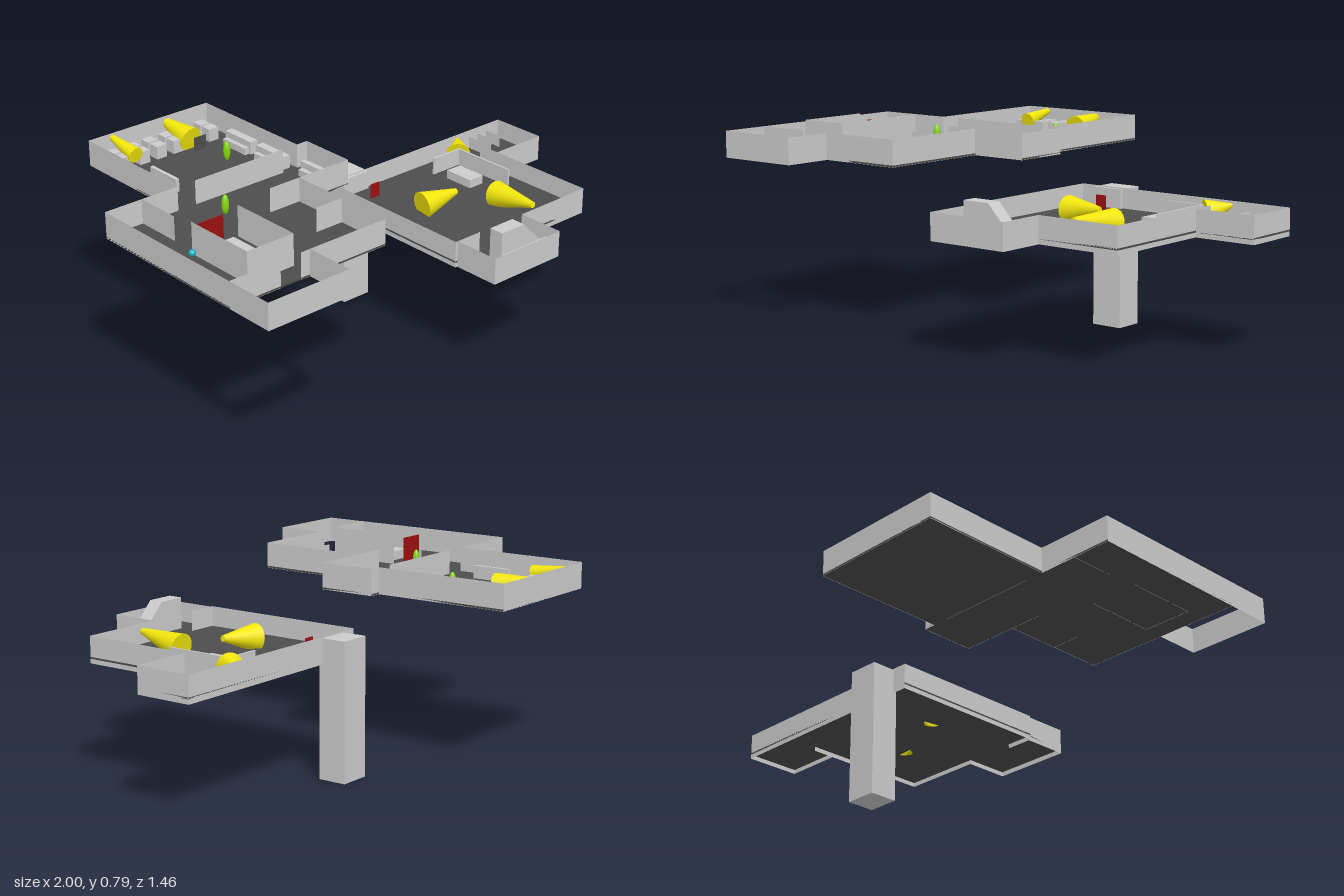
import * as THREE from 'three';

const mat = (color, side = THREE.FrontSide) => new THREE.MeshStandardMaterial({ color, side });

export function createModel() {
  const grey = mat(0xcccccc);
  const thin = mat(0xcccccc, THREE.DoubleSide);
  const dark = mat(0x4d4d4d, THREE.DoubleSide);
  const yellow = mat(0xf2e60c);
  const green = mat(0x86d90c);
  const cyan = mat(0x12b4c8);
  const red = mat(0x9c1010, THREE.DoubleSide);

  const model = new THREE.Group();
  const section = (name) => {
    const g = new THREE.Group();
    g.name = name;
    model.add(g);
    return g;
  };
  const add = (parent, name, geometry, material) => {
    const m = new THREE.Mesh(geometry, material);
    m.name = name;
    parent.add(m);
    return m;
  };
  // Box given by its limits on each axis
  const box = (parent, name, x0, x1, y0, y1, z0, z1, material = grey) =>
    add(parent, name, new THREE.BoxGeometry(x1 - x0, y1 - y0, z1 - z0), material)
      .position.set((x0 + x1) / 2, (y0 + y1) / 2, (z0 + z1) / 2);
  // Paper-thin upright wall between two floor points
  const wall = (parent, name, [x0, z0], [x1, z1], y0, y1, material = thin) => {
    const m = add(parent, name, new THREE.PlaneGeometry(Math.hypot(x1 - x0, z1 - z0), y1 - y0), material);
    m.position.set((x0 + x1) / 2, (y0 + y1) / 2, (z0 + z1) / 2);
    m.rotation.y = -Math.atan2(z1 - z0, x1 - x0);
  };
  const walls = (parent, name, points, y0, y1) => {
    for (let i = 0; i + 1 < points.length; i++) wall(parent, name, points[i], points[i + 1], y0, y1);
  };
  // Flat slab from a plan outline
  const slab = (parent, name, points, y0, y1) => {
    const shape = new THREE.Shape(points.map(([x, z]) => new THREE.Vector2(x, -z)));
    const geo = new THREE.ExtrudeGeometry(shape, { depth: y1 - y0, bevelEnabled: false });
    add(parent, name, geo.rotateX(-Math.PI / 2), dark).position.y = y0;
  };
  // Tapered light beam from a narrow to a wide end
  const beam = (parent, from, to, r0, r1) => {
    const a = new THREE.Vector3(...from), b = new THREE.Vector3(...to);
    const dir = b.clone().sub(a);
    const m = add(parent, 'lightBeam', new THREE.CylinderGeometry(r1, r0, dir.length(), 24), yellow);
    m.position.copy(a).add(b).multiplyScalar(0.5);
    m.quaternion.setFromUnitVectors(new THREE.Vector3(0, 1, 0), dir.normalize());
  };
  const marker = (parent, x, y, z, r, tall, material) => {
    const m = add(parent, 'marker', new THREE.SphereGeometry(r, 20, 14), material);
    m.position.set(x, y, z);
    m.scale.y = tall;
  };

  // ---- Upper storey ----
  const up = section('upperStorey');
  const u0 = 0.655, u1 = 0.76, uf = 0.663;
  slab(up, 'upperFloor', [[-1, -0.17], [-0.68, -0.17], [-0.68, -0.73], [-0.11, -0.73], [-0.11, -0.17],
    [-0.06, -0.17], [-0.06, 0.065], [-0.299, 0.065], [-0.299, 0.53], [-1, 0.53]], u0 + 0.001, uf);
  walls(up, 'outerWall', [[-1, 0.73], [-1, -0.17], [-0.68, -0.17], [-0.68, -0.73], [-0.11, -0.73], [-0.11, -0.17],
    [-0.06, -0.17], [-0.06, 0.065], [-0.30, 0.065], [-0.30, 0.53], [-0.65, 0.53], [-0.65, 0.73], [-1, 0.73]], u0, u1);
  wall(up, 'frontRoomWall', [-1, 0.53], [-0.78, 0.53], u0, u1);
  wall(up, 'frontRoomWall', [-0.69, 0.53], [-0.65, 0.53], u0, u1);
  wall(up, 'hallWall', [-0.60, -0.17], [-0.18, -0.17], u0, u1);
  wall(up, 'partition', [-0.84, -0.17], [-0.84, 0.02], u0, u1);
  wall(up, 'partition', [-0.44, 0.065], [-0.30, 0.065], u0, u1);
  wall(up, 'partition', [-0.42, 0.30], [-0.30, 0.30], u0, u1);

  // Taller enclosure with a platform and a red panel at its back
  walls(up, 'enclosureWall', [[-0.855, 0.14], [-0.855, 0.445], [-0.65, 0.445], [-0.65, 0.14]], u0, 0.788);
  box(up, 'platform', -0.82, -0.71, uf, 0.70, 0.19, 0.37);
  box(up, 'redPanel', -0.82, -0.71, uf, 0.765, 0.13, 0.134, red);

  // Rows of desks
  for (const x of [-0.615, -0.52, -0.44, -0.36, -0.265, -0.185])
    for (const z of [-0.668, -0.612]) box(up, 'desk', x - 0.023, x + 0.023, uf, 0.715, z - 0.023, z + 0.023);
  wall(up, 'screen', [-0.31, -0.555], [-0.25, -0.555], uf, 0.72, dark);

  // Benches: seat and backrest along the side walls
  for (const [seat0, seat1, back0, back1, z0, z1] of [
    [-0.62, -0.59, -0.59, -0.576, -0.46, -0.30],
    [-0.185, -0.16, -0.165, -0.13, -0.54, -0.385],
    [-0.185, -0.16, -0.165, -0.13, -0.35, -0.19],
    [-0.155, -0.13, -0.135, -0.112, -0.12, 0.035]]) {
    box(up, 'benchSeat', seat0, seat1, uf, 0.69, z0 + 0.01, z1 - 0.01);
    box(up, 'benchBack', back0, back1, uf, 0.715, z0, z1);
  }
  beam(up, [-0.575, 0.745, -0.725], [-0.57, 0.715, -0.58], 0.012, 0.032);
  beam(up, [-0.315, 0.735, -0.725], [-0.305, 0.705, -0.58], 0.018, 0.05);
  marker(up, -0.58, 0.71, -0.02, 0.014, 2.8, green);
  marker(up, -0.27, 0.705, -0.40, 0.014, 2.8, green);
  marker(up, -0.93, 0.73, 0.24, 0.013, 1, cyan);

  // ---- Lower storey ----
  const low = section('lowerStorey');
  const l0 = 0.445, l1 = 0.55, lf = 0.47;
  slab(low, 'lowerFloor', [[0.055, -0.17], [1, -0.17], [1, 0.065], [0.753, 0.065], [0.753, 0.53],
    [0.405, 0.53], [0.405, 0.72], [0.065, 0.72], [0.065, 0.53], [0.055, 0.53]], 0.463, lf);
  walls(low, 'outerWall', [[0.055, -0.17], [1, -0.17], [1, 0.065], [0.752, 0.065], [0.752, 0.53],
    [0.405, 0.53], [0.405, 0.722], [0.065, 0.722], [0.065, 0.53], [0.055, 0.53], [0.055, -0.17]], l0, l1);
  wall(low, 'sideRoomWall', [0.752, -0.03], [0.752, 0.065], l0, l1);
  wall(low, 'sofaRoomWall', [0.065, 0.53], [0.18, 0.53], l0, l1);
  box(low, 'innerWall', 0.676, 0.684, lf, 0.54, -0.084, 0.20);
  box(low, 'innerWall', 0.535, 0.676, lf, 0.54, -0.084, -0.076);
  box(low, 'table', 0.548, 0.62, lf, 0.505, 0.015 - 0.03, 0.115);
  for (const x of [0.83, 0.88, 0.93]) wall(low, 'stallPartition', [x, -0.17], [x, -0.09], lf, 0.52);
  box(low, 'smallRedPanel', 0.19, 0.235, lf, 0.53, -0.08, -0.077, red);

  // Ramp with a low step before it
  const profile = new THREE.Shape([[0.165, lf], [0.402, lf], [0.28, 0.595], [0.165, 0.595]]
    .map((p) => new THREE.Vector2(...p)));
  add(low, 'ramp', new THREE.ExtrudeGeometry(profile, { depth: 0.06, bevelEnabled: false }), grey).position.z = 0.597;
  box(low, 'step', 0.165, 0.40, lf, 0.505, 0.657, 0.715);

  beam(low, [0.405, 0.525, 0.18], [0.245, 0.505, 0.155], 0.012, 0.055);
  beam(low, [0.52, 0.535, 0.48], [0.537, 0.503, 0.27], 0.012, 0.053);
  beam(low, [0.755, 0.535, -0.165], [0.69, 0.51, -0.095], 0.006, 0.05);

  // Lift shaft
  box(model, 'liftShaft', 0.118, 0.248, 0, 0.545, -0.272, -0.156);
  return model;
}
